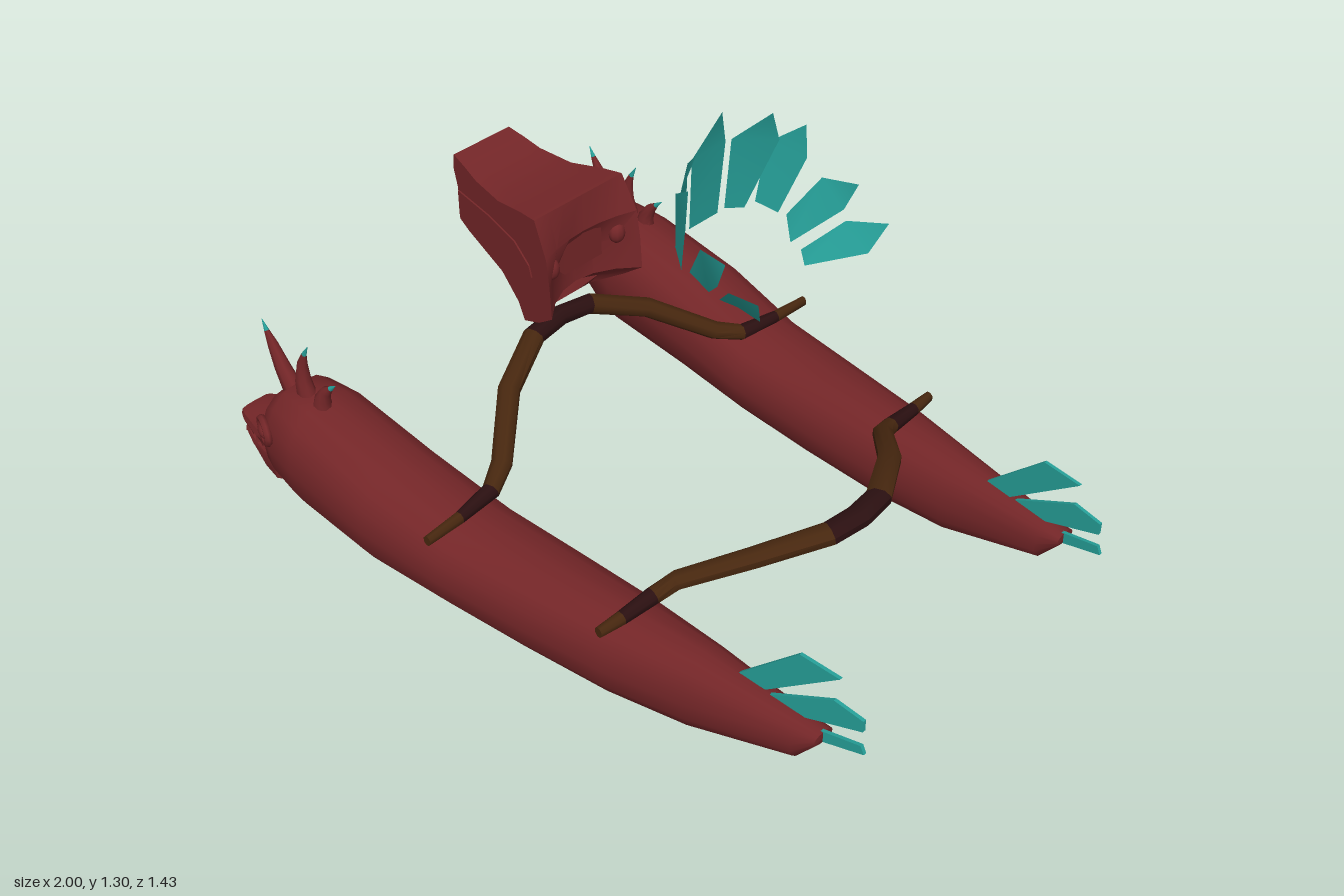
import * as THREE from 'three';
import { toCreasedNormals } from 'three/addons/utils/BufferGeometryUtils.js';

const mat = (name, color, side = THREE.FrontSide) => {
  const m = new THREE.MeshStandardMaterial({ color, side });
  m.name = name;
  return m;
};
const V = (x, y, z) => new THREE.Vector3(x, y, z);

// Skin over rings of equal size; spanMats gives a material index per span
function loft(rings, crease = 0.9, spanMats = null) {
  const n = rings[0].length, pos = [], idx = [], g = new THREE.BufferGeometry();
  rings.forEach(r => r.forEach(p => pos.push(p.x, p.y, p.z)));
  const ends = [rings[0], rings[rings.length - 1]].map(r => {
    const c = V(0, 0, 0);
    r.forEach(p => c.addScaledVector(p, 1 / n));
    pos.push(c.x, c.y, c.z);
    return pos.length / 3 - 1;
  });
  const last = (rings.length - 1) * n;
  for (let i = 0; i < rings.length - 1; i++) {
    const start = idx.length;
    for (let j = 0; j < n; j++) {
      const k = (j + 1) % n, a = i * n + j, b = i * n + k;
      idx.push(a, b, a + n, b, b + n, a + n);
      if (i === 0) idx.push(ends[0], k, j);
      if (i === rings.length - 2) idx.push(ends[1], last + j, last + k);
    }
    if (spanMats) g.addGroup(start, idx.length - start, spanMats[i]);
  }
  g.setAttribute('position', new THREE.Float32BufferAttribute(pos, 3));
  g.setIndex(idx);
  return toCreasedNormals(g, crease);
}

// Rounded-box sections along x: [x, yBottom, yTop, zMin, zMax]
const sections = (rows, sides = 16, power = 0.85) => rows.map(([x, y0, y1, z0, z1]) =>
  Array.from({ length: sides }, (_, j) => {
    const t = (j / sides) * Math.PI * 2, f = v => Math.sign(v) * Math.abs(v) ** power;
    return V(x, (y0 + y1) / 2 + f(Math.cos(t)) * (y1 - y0) / 2, (z0 + z1) / 2 + f(Math.sin(t)) * (z1 - z0) / 2);
  }));

// Tapered sweep along points: radii are [sideways, upward]
function sweep(points, radii, sides, hint, spanMats) {
  const rings = points.map((p, i) => {
    const T = points[Math.min(i + 1, points.length - 1)].clone().sub(points[Math.max(i - 1, 0)]).normalize();
    const S = T.clone().cross(hint).normalize(), U = S.clone().cross(T);
    return Array.from({ length: sides }, (_, j) => {
      const t = ((j + 0.5) / sides) * Math.PI * 2;
      return p.clone().addScaledVector(U, Math.cos(t) * radii[i][1]).addScaledVector(S, Math.sin(t) * radii[i][0]);
    });
  });
  return loft(rings, 0.9, spanMats);
}

const polygon = pts => new THREE.Shape(pts.map(p => new THREE.Vector2(p[0], p[1])));

// Move every vertex of a geometry by a rule
function bend(geo, rule) {
  const p = geo.attributes.position, v = V(0, 0, 0);
  for (let i = 0; i < p.count; i++) {
    rule(v.fromBufferAttribute(p, i));
    p.setXYZ(i, v.x, v.y, v.z);
  }
  return toCreasedNormals(geo, 0.5);
}

export function createModel() {
  const model = new THREE.Group();
  const red = mat('hull red', 0x742628), teal = mat('feather teal', 0x26a099, THREE.DoubleSide);
  const brown = mat('beam brown', 0x47270f), dark = mat('binding brown', 0x2b1011);
  const add = (parent, name, geo, m) => {
    const mesh = new THREE.Mesh(geo, m);
    mesh.name = name;
    parent.add(mesh);
    return mesh;
  };

  // Hull with a beast head at the bow
  const hull = new THREE.Group();
  hull.name = 'hullLeft';
  add(hull, 'hullBody', loft(sections([
    [-0.87, 0.08, 0.29, 0.52, 0.665], [-0.85, 0.06, 0.32, 0.49, 0.68], [-0.8, 0.045, 0.36, 0.455, 0.7],
    [-0.7, 0.025, 0.355, 0.432, 0.712], [-0.42, 0.012, 0.305, 0.42, 0.712], [-0.17, 0.008, 0.252, 0.4, 0.68],
    [0.08, 0.005, 0.25, 0.39, 0.647], [0.33, 0.008, 0.25, 0.385, 0.61], [0.55, 0.025, 0.247, 0.395, 0.56],
    [0.83, 0.11, 0.228, 0.418, 0.5], [0.89, 0.19, 0.22, 0.425, 0.487]])), red);
  add(hull, 'upperJaw', loft(sections([
    [-1, 0.162, 0.196, 0.54, 0.64], [-0.97, 0.158, 0.205, 0.53, 0.655],
    [-0.89, 0.16, 0.205, 0.515, 0.675], [-0.83, 0.15, 0.25, 0.5, 0.685]], 12, 0.6), 0.6), red);
  add(hull, 'lowerJaw', loft(sections([
    [-0.995, 0.108, 0.134, 0.545, 0.635], [-0.95, 0.09, 0.13, 0.535, 0.65],
    [-0.88, 0.068, 0.14, 0.515, 0.67], [-0.82, 0.055, 0.18, 0.5, 0.68]], 12, 0.6), 0.6), red);
  for (const s of [-1, 1]) {
    for (let i = 0; i < 4; i++) {
      const tooth = add(hull, 'tooth', new THREE.ConeGeometry(0.009, 0.035, 4), red);
      tooth.position.set(-0.985 + i * 0.03, 0.148, 0.59 + s * (0.045 + i * 0.007));
      if (i % 2) tooth.rotation.x = Math.PI;
    }
    const eye = new THREE.Group();
    eye.name = 'eye';
    add(eye, 'eyeRim', new THREE.TorusGeometry(0.043, 0.011, 6, 14), red).scale.set(1, 0.75, 1);
    add(eye, 'eyeball', new THREE.SphereGeometry(0.028, 10, 8), red).scale.set(1.1, 0.7, 0.6);
    eye.position.set(-0.825, 0.245, 0.58 + s * 0.108);
    eye.rotation.set(0, s > 0 ? -0.4 : 0.4, 0.1);
    hull.add(eye);
  }

  // Three curved horns with bright tips
  const hornPaths = [
    [[-0.81, 0.32], [-0.855, 0.385], [-0.885, 0.44], [-0.905, 0.475], [-0.92, 0.505]],
    [[-0.755, 0.33], [-0.768, 0.39], [-0.763, 0.44], [-0.749, 0.478], [-0.73, 0.512]],
    [[-0.695, 0.33], [-0.69, 0.368], [-0.672, 0.4], [-0.652, 0.42], [-0.628, 0.442]]];
  hornPaths.forEach((path, i) => {
    const r = [1, 0.75, 0.5, 0.24, 0.02].map(k => [k * 0.031, k * 0.027]);
    add(hull, 'horn' + (i + 1), sweep(path.map(p => V(p[0], p[1], 0.588)), r, 8, V(0, 0, 1), [0, 0, 0, 1]), [red, teal]);
  });

  // Fanned stern feathers
  const tails = [
    [[0.645, 0.24], [0.72, 0.235], [0.92, 0.4], [0.81, 0.405]],
    [[0.73, 0.23], [0.83, 0.225], [0.99, 0.287], [0.99, 0.32], [0.91, 0.332]],
    [[0.86, 0.215], [0.89, 0.19], [1, 0.225], [0.99, 0.247]]];
  tails.forEach((pts, i) => {
    const geo = new THREE.ExtrudeGeometry(polygon(pts), { depth: 0.009, bevelEnabled: false });
    add(hull, 'tailFeather' + (i + 1), bend(geo, v => { v.z += 0.462 - 0.07 * (v.x - 0.645) + (i - 1) * 0.004; }), teal);
  });
  model.add(hull);
  const right = hull.clone();
  right.name = 'hullRight';
  right.scale.z = -1;
  model.add(right);

  // Arched cross beams; half paths run from the outer end: [x, y, z, side, up]
  const beams = {
    frontBeam: [[-0.175, 0.27, 0.69, 0.012, 0.015], [-0.182, 0.27, 0.58, 0.016, 0.018], [-0.2, 0.272, 0.46, 0.024, 0.022],
      [-0.235, 0.298, 0.39, 0.028, 0.024], [-0.355, 0.388, 0.25, 0.03, 0.026], [-0.42, 0.445, 0.1, 0.03, 0.027], [-0.43, 0.453, 0, 0.03, 0.027]],
    rearBeam: [[0.335, 0.255, 0.61, 0.013, 0.015], [0.34, 0.256, 0.54, 0.018, 0.018], [0.345, 0.262, 0.44, 0.023, 0.022],
      [0.365, 0.285, 0.38, 0.027, 0.023], [0.49, 0.35, 0.25, 0.031, 0.024], [0.585, 0.381, 0.09, 0.034, 0.024], [0.597, 0.384, 0, 0.034, 0.024]],
  };
  for (const [name, half] of Object.entries(beams)) {
    const rows = [...half, ...half.slice(0, -1).reverse().map(([x, y, z, a, b]) => [x, y, -z, a, b])];
    const geo = sweep(rows.map(r => V(r[0], r[1], r[2])), rows.map(r => [r[3], r[4]]), 8, V(0, 1, 0),
      [0, 1, 0, 0, 0, 1, 1, 0, 0, 0, 1, 0]);
    add(model, name, geo, [brown, dark]);
  }

  // Raised beast mask: side profile widened towards the back, hollowed behind
  const mask = new THREE.Group();
  mask.name = 'mask';
  const half = x => 0.095 + (x + 0.7) * 0.155;
  const profile = [[-0.7, 0.875], [-0.705, 0.83], [-0.69, 0.78], [-0.69, 0.685], [-0.65, 0.668], [-0.5, 0.625],
    [-0.43, 0.57], [-0.405, 0.525], [-0.34, 0.555], [-0.28, 0.6], [-0.285, 0.69], [-0.295, 0.77], [-0.34, 0.865],
    [-0.4, 0.858], [-0.5, 0.838], [-0.6, 0.846], [-0.65, 0.862]];
  const maskGeo = new THREE.ExtrudeGeometry(polygon(profile), { depth: 2, steps: 6, bevelEnabled: false });
  add(mask, 'maskShell', bend(maskGeo, v => {
    const s = v.z - 1, h = half(v.x);
    if (v.x > -0.35 && v.y < 0.8) v.x -= (v.y > 0.75 ? 0.03 : 0.08) * (1 - s * s);
    v.z = s * h;
  }), red);
  const lip = [[-0.685, 0.775], [-0.55, 0.772], [-0.43, 0.755], [-0.37, 0.715], [-0.36, 0.685], [-0.4, 0.665], [-0.5, 0.677], [-0.685, 0.703]];
  for (const s of [-1, 1]) {
    const geo = new THREE.ExtrudeGeometry(polygon(lip), { depth: 0.009, bevelEnabled: false });
    add(mask, 'cheekPanel', bend(geo, v => { v.z += s * half(v.x) - 0.0045; }), red);
    const socket = add(mask, 'maskEye', new THREE.SphereGeometry(0.03, 10, 8), red);
    socket.position.set(-0.325, 0.71, s * 0.115);
    socket.scale.set(0.7, 1, 0.8);
  }
  const bridge = add(mask, 'noseBridge', new THREE.BoxGeometry(0.05, 0.1, 0.13), red);
  bridge.position.set(-0.355, 0.715, 0);
  model.add(mask);

  // Floating feather crest: base, base, shoulder, tip, shoulder
  const crest = [
    [[0.085, 0.988, 0.048], [0.085, 0.988, -0.048], [0.1, 1.187, -0.056], [0.14, 1.305, 0], [0.1, 1.187, 0.056]],
    [[0.107, 0.98, 0.118], [0.09, 0.995, 0.066], [0.103, 1.187, 0.073], [0.18, 1.265, 0.127], [0.168, 1.172, 0.166]],
    [[0.172, 0.973, 0.165], [0.125, 0.998, 0.135], [0.142, 1.16, 0.152], [0.222, 1.222, 0.196], [0.222, 1.13, 0.204]],
    [[0.235, 0.93, 0.14], [0.198, 0.98, 0.165], [0.268, 1.095, 0.205], [0.362, 1.108, 0.225], [0.33, 1.03, 0.215]],
    [[0.302, 0.908, 0.115], [0.268, 0.925, 0.14], [0.35, 1.015, 0.2], [0.458, 1.046, 0.222], [0.432, 0.97, 0.185]]];
  crest.forEach((pts, i) => {
    for (const s of i ? [1, -1] : [1]) {
      const geo = new THREE.BufferGeometry();
      geo.setAttribute('position', new THREE.Float32BufferAttribute(pts.flatMap(([x, y, z]) => [x, y, z * s]), 3));
      const tri = [0, 1, 2, 0, 2, 4, 2, 3, 4];
      geo.setIndex(s > 0 ? tri : tri.reverse());
      geo.computeVertexNormals();
      add(model, 'crestFeather' + i + (s > 0 ? 'Left' : 'Right'), geo, teal);
    }
  });
  return model;
}
